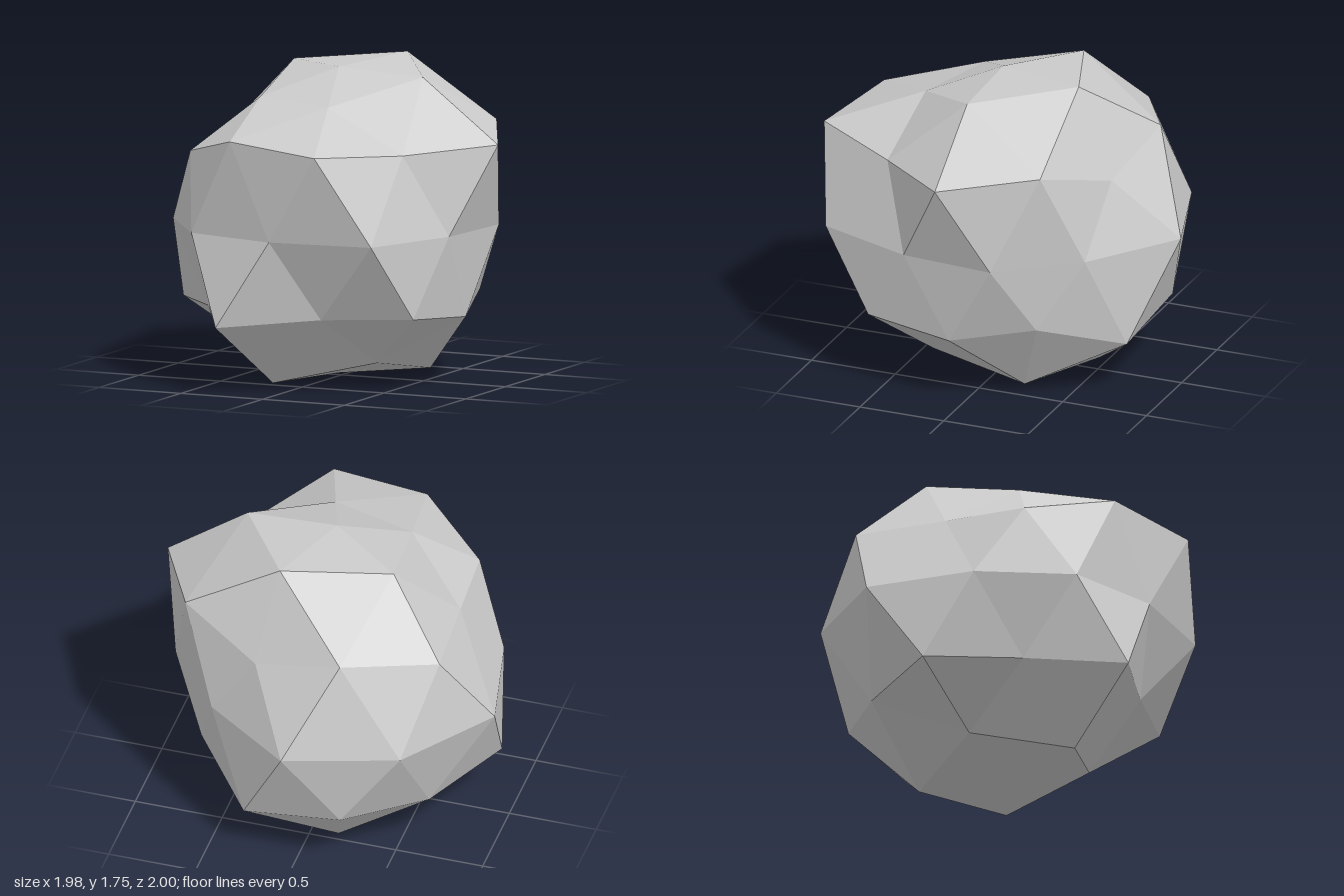
import * as THREE from 'three';

// A faceted boulder: a once-subdivided icosahedron standing on a pole,
// each point pushed in or out along its own direction.
const CENTRE = new THREE.Vector3(0.01, 0.865, 0.06);

// One ring of points: sine of elevation, first angle in degrees, radii going round
function ring(sinElev, startDeg, radii) {
  const cosElev = Math.sqrt(1 - sinElev * sinElev);
  return radii.map((r, i) => {
    const a = THREE.MathUtils.degToRad(startDeg + (360 / radii.length) * i);
    return new THREE.Vector3(Math.cos(a) * cosElev, sinElev, Math.sin(a) * cosElev).multiplyScalar(r);
  });
}

function boulderGeometry() {
  const top = new THREE.Vector3(0, 0.86, 0);
  const bottom = new THREE.Vector3(0, -0.845, 0);
  const P = ring(0.8507, 0, [0.98, 0.817, 0.83, 0.986, 1.042]);
  const M = ring(0.5257, 36, [0.877, 1.018, 0.835, 1.022, 1.038]);
  const U = ring(0.4472, 0, [1.09, 1.107, 0.928, 1.048, 0.878]);
  const E = ring(0, 18, [0.842, 1.005, 0.882, 0.92, 0.92, 1.06, 1.065, 1.06, 0.865, 0.89]);
  const L = ring(-0.4472, 36, [0.973, 1.095, 1.062, 1.046, 0.884]);
  const N = ring(-0.5257, 0, [0.913, 0.846, 0.856, 0.993, 1.056]);
  const Q = ring(-0.8507, 36, [0.858, 0.993, 0.88, 1.017, 0.976]);

  const points = [];
  const normal = new THREE.Vector3();
  const edge = new THREE.Vector3();
  // Adds a triangle, turned so that it faces outward
  function tri(a, b, c) {
    normal.subVectors(b, a).cross(edge.subVectors(c, a));
    const outward = normal.dot(a) > 0;
    points.push(a, outward ? b : c, outward ? c : b);
  }
  // Splits one icosahedron face: corners a, b, c and edge points ab, bc, ca
  function face(a, b, c, ab, bc, ca) {
    tri(a, ab, ca);
    tri(ab, b, bc);
    tri(ca, bc, c);
    tri(ab, bc, ca);
  }

  for (let k = 0; k < 5; k++) {
    const n = (k + 1) % 5;
    const e0 = E[2 * k], e1 = E[2 * k + 1], e2 = E[(2 * k + 2) % 10];
    face(top, U[k], U[n], P[k], M[k], P[n]); // crown
    face(U[k], U[n], L[k], M[k], e1, e0); // band, pointing down
    face(L[k], L[n], U[n], N[n], e2, e1); // band, pointing up
    face(bottom, L[k], L[n], Q[k], N[n], Q[n]); // underside
  }

  const geometry = new THREE.BufferGeometry().setFromPoints(points);
  geometry.translate(CENTRE.x, CENTRE.y, CENTRE.z);
  geometry.computeVertexNormals(); // unshared corners give flat facets
  return geometry;
}

export function createModel() {
  const stone = new THREE.MeshStandardMaterial({ color: 0xcccccc });
  stone.name = 'stone grey';
  stone.flatShading = true;

  const boulder = new THREE.Mesh(boulderGeometry(), stone);
  boulder.name = 'boulder';

  const model = new THREE.Group();
  model.name = 'rock';
  model.add(boulder);
  return model;
}
